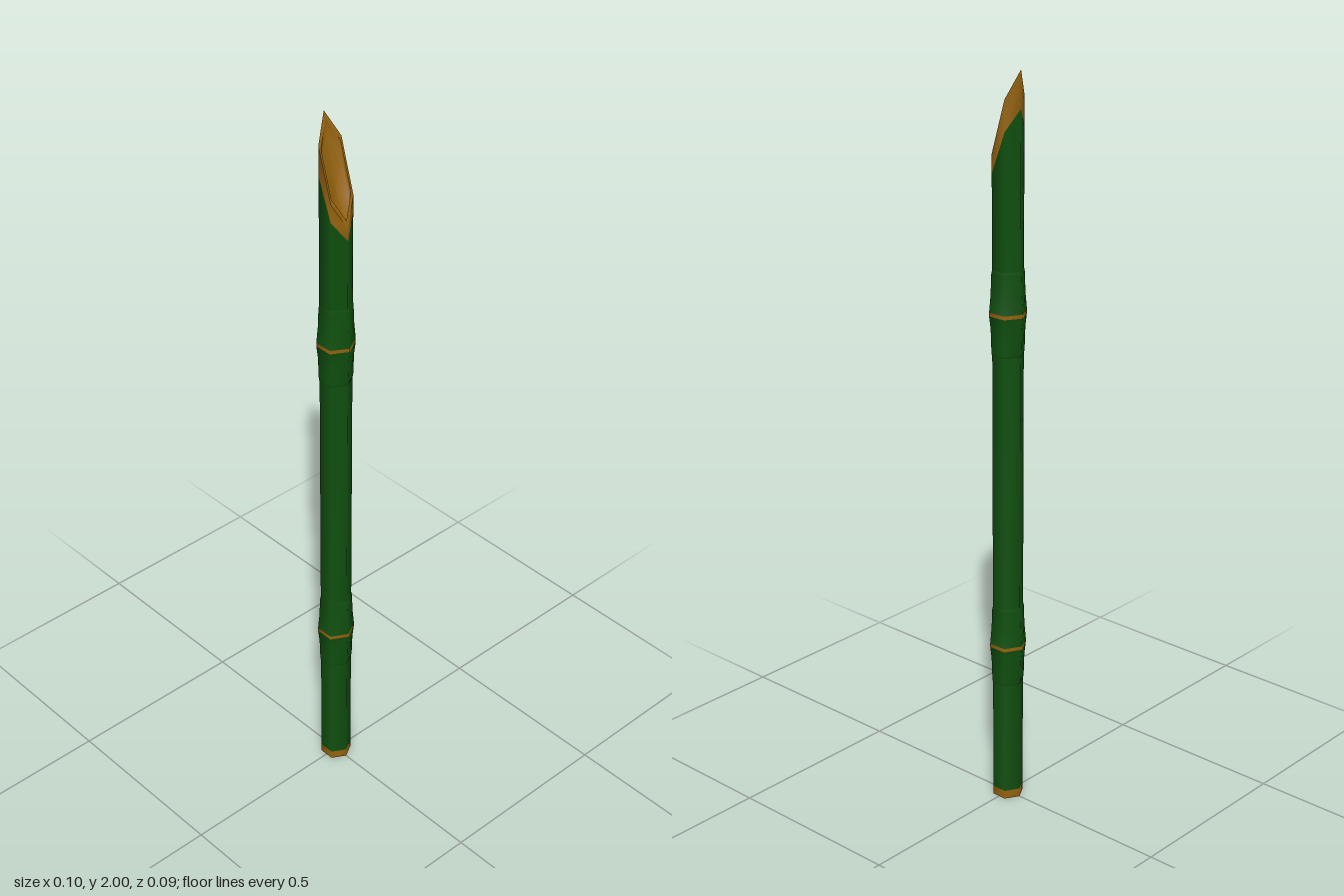
import * as THREE from 'three';

const SIDES = 6;
const R = 0.042;
const green = new THREE.MeshStandardMaterial({ color: 0x10500f });
const tan = new THREE.MeshStandardMaterial({ color: 0x96640f });

// Slanted planes: the cut itself, and the lower edge of the bare band under it
const cut = x => 1.86 - 3.33 * x;
const bandEdge = x => 1.795 - 2.6 * x;

// Skins hexagonal rings [radius, height or height rule of x], listed from the bottom outwards and up
function loft(name, material, rings) {
  const pos = [], index = [];
  for (const [r, y] of rings) {
    for (let i = 0; i < SIDES; i++) {
      const a = (i / SIDES) * Math.PI * 2;
      const x = r * Math.cos(a);
      pos.push(x, typeof y === 'function' ? y(x) : y, -r * Math.sin(a));
    }
  }
  for (let k = 0; k < rings.length - 1; k++) {
    for (let i = 0; i < SIDES; i++) {
      const a = k * SIDES + i, b = k * SIDES + (i + 1) % SIDES;
      index.push(a, b, b + SIDES, a, b + SIDES, a + SIDES);
    }
  }
  const geo = new THREE.BufferGeometry();
  geo.setAttribute('position', new THREE.Float32BufferAttribute(pos, 3));
  geo.setIndex(index);
  geo.computeVertexNormals();
  const mesh = new THREE.Mesh(geo, material);
  mesh.name = name;
  return mesh;
}

export function createModel() {
  const model = new THREE.Group();
  model.name = 'bambooStake';

  // Foot: closed underside, bare rim and band
  model.add(
    loft('footCap', green, [[0, 0], [0.036, 0]]),
    loft('footRim', tan, [[0.036, 0], [R, 0]]),
    loft('footBand', tan, [[R, 0], [R, 0.024]])
  );

  // Main stalk
  model.add(loft('stalk', green, [[R, 0.024], [R, bandEdge]]));

  // Swollen joints, each with a thin ring in the middle
  for (const y of [0.455, 1.38]) {
    const joint = new THREE.Group();
    joint.name = 'joint';
    joint.add(
      loft('lowerCollar', green, [[R, y - 0.11], [0.044, y - 0.105], [0.046, y - 0.04], [0.05, y - 0.005]]),
      loft('jointRing', tan, [[0.05, y - 0.005], [0.05, y + 0.005]]),
      loft('upperCollar', green, [[0.05, y + 0.005], [0.046, y + 0.05], [0.044, y + 0.105], [R, y + 0.115]])
    );
    model.add(joint);
  }

  // Slanted tip: bare band, cut wall and shallow hollow
  model.add(
    loft('tipBand', tan, [[R, bandEdge], [R, cut]]),
    loft('tipRim', tan, [[R, cut], [0.036, cut]]),
    loft('tipHollow', tan, [[0.036, cut], [0.034, x => cut(x) - 0.03], [0, 1.81]])
  );
  return model;
}
